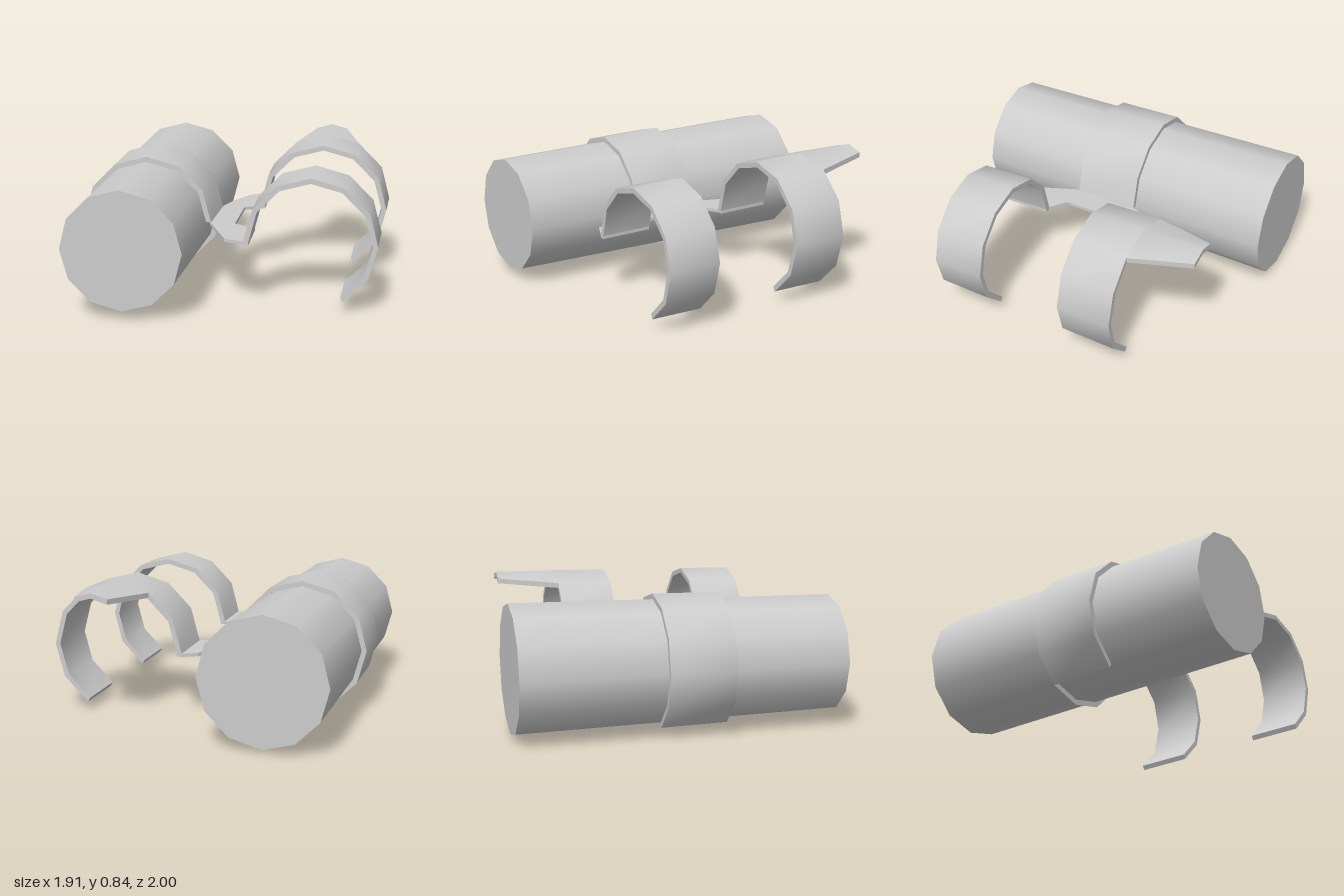
import * as THREE from 'three';
import { toCreasedNormals } from 'three/addons/utils/BufferGeometryUtils.js';

const CY = 0.418;                // axis height shared by tube and clips
const TUBE_X = -0.54, CLIP_X = 0.531;
const WALL = 0.032;
const radiusAt = (z) => 0.413 - 0.02 * z; // outer radius of the tapered rings

// Skin a row of four-cornered sections, with end caps.
function loft(sections) {
  const pos = [];
  const tri = (a, b, c) => pos.push(...a, ...b, ...c);
  for (let i = 0; i < sections.length - 1; i++) {
    const s = sections[i], t = sections[i + 1];
    for (let j = 0; j < 4; j++) {
      const k = (j + 1) % 4;
      tri(s[j], s[k], t[k]);
      tri(s[j], t[k], t[j]);
    }
  }
  const s = sections[0], e = sections[sections.length - 1];
  tri(s[0], s[2], s[1]);
  tri(s[0], s[3], s[2]);
  tri(e[0], e[1], e[2]);
  tri(e[0], e[2], e[3]);
  const geo = new THREE.BufferGeometry();
  geo.setAttribute('position', new THREE.Float32BufferAttribute(pos, 3));
  return toCreasedNormals(geo, 0.75);
}

// Thin ring segment in 30 degree steps, following the taper.
function ringSegment(cx, fromDeg, toDeg, zFront, zBack) {
  const sections = [];
  for (let d = fromDeg; d <= toDeg; d += 30) {
    const a = THREE.MathUtils.degToRad(d);
    const p = (r, z) => [cx + r * Math.cos(a), CY + r * Math.sin(a), z];
    const rf = radiusAt(zFront), rb = radiusAt(zBack);
    sections.push([p(rf, zFront), p(rb, zBack), p(rb - WALL, zBack), p(rf - WALL, zFront)]);
  }
  return loft(sections);
}

export function createModel() {
  const group = new THREE.Group();
  const grey = new THREE.MeshStandardMaterial({ color: 0xcccccc });
  grey.name = 'grey';
  const add = (name, geo) => {
    const mesh = new THREE.Mesh(geo, grey);
    mesh.name = name;
    group.add(mesh);
    return mesh;
  };

  // Tapered twelve-sided tube lying along z
  const tube = new THREE.CylinderGeometry(0.364, 0.394, 2, 12);
  tube.rotateX(Math.PI / 2);
  add('tube', tube).position.set(TUBE_X, CY, 0);

  // Band wrapped over the top and outer side of the tube
  add('band', ringSegment(TUBE_X, 0, 240, 0.28, -0.13));

  // Thin flange closing the ring below, facing forwards
  const flange = new THREE.RingGeometry(0.37, radiusAt(-0.13), 4, 1, Math.PI * 4 / 3, Math.PI * 2 / 3);
  add('flange', flange).position.set(TUBE_X, CY, -0.13);

  // Open clips
  add('frontClip', ringSegment(CLIP_X, -60, 180, 0.69, 0.36));
  add('backClip', ringSegment(CLIP_X, -60, 180, -0.19, -0.54));

  // Tapering tongue carrying on from the top of the back clip
  const r = radiusAt(-0.54);
  add('tongue', loft([1, 0, -1].map((side) => {
    const y = side ? CY + r * Math.sin(Math.PI / 3) : CY + r;
    const yEnd = side ? 0.815 : 0.845;
    const x = CLIP_X + side * r / 2, xEnd = CLIP_X + side * 0.105;
    return [[x, y, -0.54], [xEnd, yEnd, -0.92], [xEnd, yEnd - WALL, -0.92], [x, y - WALL, -0.54]];
  })));

  // Flat bracket joining the band to both clips, outlined in x and z
  const outline = [
    [-0.13, -0.13], [-0.07, -0.32], [0.02, -0.49], [0.107, -0.54], [0.139, -0.54],
    [0.146, -0.19], [0.114, -0.19], [0.02, -0.135], [0.02, 0.28], [0.125, 0.36],
    [0.157, 0.36], [0.163, 0.69], [0.132, 0.69], [0.01, 0.635], [-0.14, 0.28],
  ].map(([x, z]) => new THREE.Vector2(x, z));
  const bracket = new THREE.ExtrudeGeometry(new THREE.Shape(outline), { depth: 0.02, bevelEnabled: false });
  bracket.rotateX(Math.PI / 2);
  add('bracket', bracket).position.y = CY;

  return group;
}
